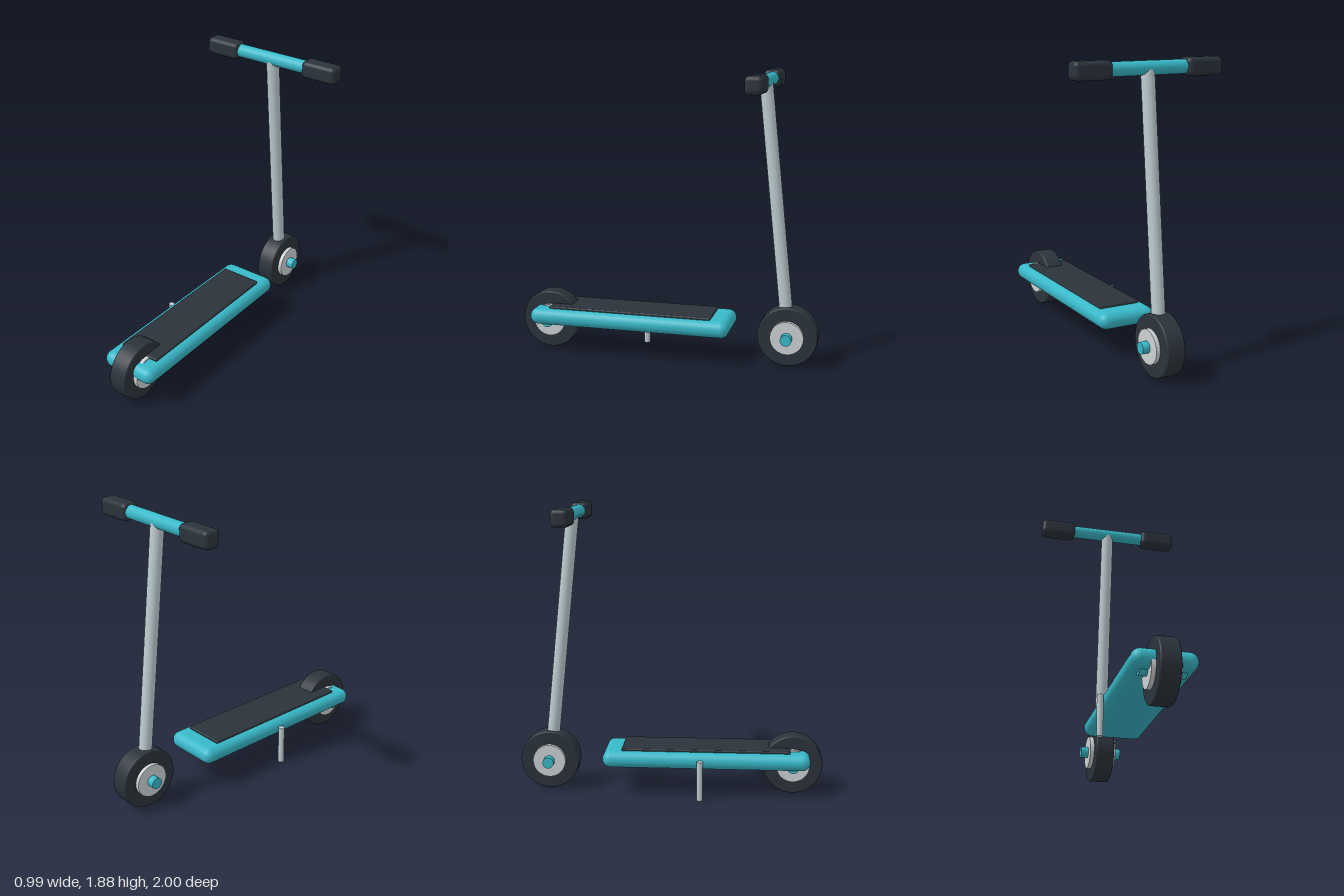
import * as THREE from 'three';
import { RoundedBoxGeometry } from 'three/addons/geometries/RoundedBoxGeometry.js';

function material(name, color) {
  const m = new THREE.MeshStandardMaterial({ color });
  m.name = name;
  return m;
}

export function createModel() {
  const teal = material('teal', 0x38b8c8);
  const rubber = material('dark rubber', 0x2b333b);
  const steel = material('steel', 0xbccbd0);
  const hubGrey = material('hub grey', 0xcdd1d3);

  const scooter = new THREE.Group();
  scooter.name = 'kickScooter';

  function add(parent, name, geometry, mat, x = 0, y = 0, z = 0) {
    const mesh = new THREE.Mesh(geometry, mat);
    mesh.name = name;
    mesh.position.set(x, y, z);
    parent.add(mesh);
    return mesh;
  }
  // Cylinder lying along x
  const rod = (radius, length, sides = 32) =>
    new THREE.CylinderGeometry(radius, radius, length, sides).rotateZ(Math.PI / 2);

  // Deck with grip mat
  add(scooter, 'deck', new RoundedBoxGeometry(0.385, 0.11, 1.355, 6, 0.054), teal, 0, 0.245, 0.237);
  add(scooter, 'gripMat', new RoundedBoxGeometry(0.282, 0.03, 1.1, 3, 0.008), rubber, 0, 0.3, 0.235);

  // Tyre profile with slightly softened shoulders, revolved about the axle
  const R = 0.194, W = 0.061, f = 0.01;
  const profile = [[0, -W], [R - f, -W]];
  for (let i = 1; i <= 4; i++) {
    const a = (i / 4) * Math.PI / 2;
    profile.push([R - f + f * Math.sin(a), -W + f - f * Math.cos(a)]);
  }
  const mirrored = profile.map(([r, h]) => [r, -h]).reverse();
  const points = [...profile, ...mirrored].map(([r, h]) => new THREE.Vector2(r, h));
  const tyreGeometry = new THREE.LatheGeometry(points, 64).rotateZ(Math.PI / 2);

  // Wheels
  for (const [name, z] of [['frontWheel', -0.805], ['rearWheel', 0.805]]) {
    const wheel = new THREE.Group();
    wheel.name = name;
    wheel.position.set(0, 0.202, z);
    add(wheel, 'tyre', tyreGeometry, rubber);
    add(wheel, 'hub', rod(0.108, 0.174, 48), hubGrey);
    add(wheel, 'axle', rod(0.037, 0.27), teal);
    scooter.add(wheel);
  }

  // Raked steering stem from wheel centre to handlebar
  const bottom = new THREE.Vector3(0, 0.202, -0.805);
  const top = new THREE.Vector3(0, 1.828, -0.63);
  const axis = top.clone().sub(bottom);
  const stem = add(scooter, 'stem',
    new THREE.CylinderGeometry(0.042, 0.042, axis.length(), 32), steel);
  stem.position.copy(bottom).add(top).multiplyScalar(0.5);
  stem.quaternion.setFromUnitVectors(new THREE.Vector3(0, 1, 0), axis.normalize());

  // Handlebar and soft square grips
  add(scooter, 'handlebar', rod(0.043, 0.9), teal, 0, 1.83, -0.63);
  for (const side of [-1, 1]) {
    add(scooter, side > 0 ? 'leftGrip' : 'rightGrip',
      new RoundedBoxGeometry(0.245, 0.112, 0.112, 5, 0.03), rubber, side * 0.372, 1.829, -0.63);
  }

  // Kickstand
  add(scooter, 'kickstand', new THREE.CylinderGeometry(0.02, 0.02, 0.26, 24), steel, -0.215, 0.13, 0.2);

  return scooter;
}
